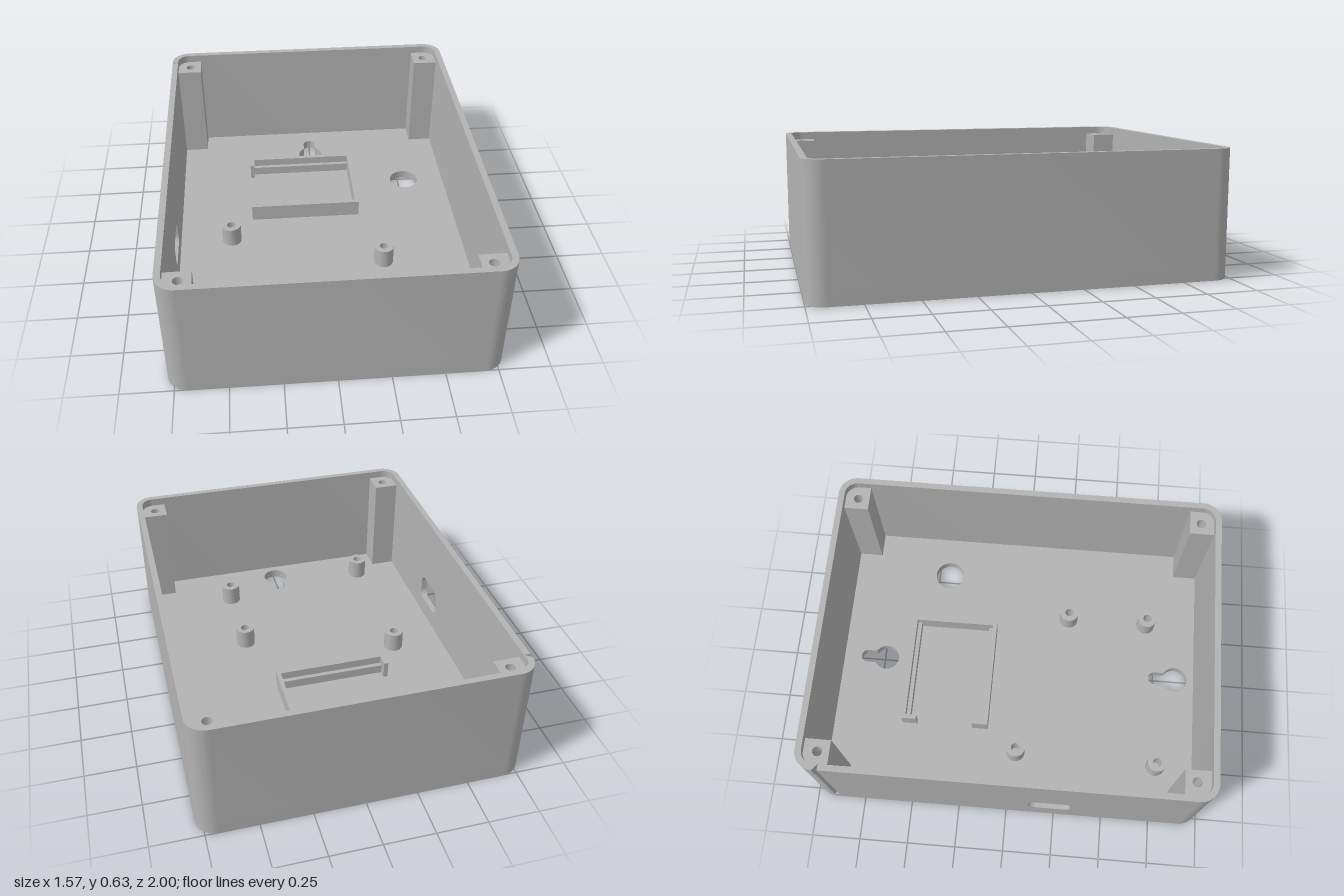
import * as THREE from 'three';
import { toCreasedNormals } from 'three/addons/utils/BufferGeometryUtils.js';

const W = 0.783, D = 1, H = 0.628;       // half width, half depth, height
const T = 0.031, FLOOR = 0.047, R = 0.094; // wall, floor, corner radius
const SEAM = 0.88;                       // half length of the slotted wall panel
const PI = Math.PI;

// Corner centres in turning order, with the start angle of each arc
const CORNERS = [[-1, -1, PI], [1, -1, 1.5 * PI], [1, 1, 0], [-1, 1, 0.5 * PI]];

function roundedRect(path, cx, cy, hw, hh, r) {
  CORNERS.forEach(([sx, sy, a]) =>
    path.absarc(cx + sx * (hw - r), cy + sy * (hh - r), r, a, a + PI / 2, false));
  path.closePath();
  return path;
}

function circle(x, z, r) {
  return new THREE.Path().absarc(x, z, r, 0, 2 * PI, false);
}

// Round opening with a narrow slot towards the back
function keyhole(z, slotZ) {
  const r = 0.068, w = 0.034, a = Math.acos(w / r);
  const p = new THREE.Path();
  p.absarc(0, z, r, -a, PI + a, false);
  p.absarc(0, slotZ, w, PI, 2 * PI, false);
  p.closePath();
  return p;
}

function extrude(shape, depth) {
  return new THREE.ExtrudeGeometry(shape, { depth, bevelEnabled: false, curveSegments: 14 });
}

// Plan outline (x, z) raised from y0 to y1
function slab(shape, y0, y1) {
  const g = extrude(shape, y1 - y0).rotateX(PI / 2).translate(0, y1, 0);
  return toCreasedNormals(g, 0.6);
}

export function createModel() {
  const model = new THREE.Group();
  model.name = 'enclosureBase';
  const grey = new THREE.MeshStandardMaterial({ color: 0xb3b3b3 });
  grey.name = 'grey plastic';

  const add = (name, geometry, parent = model) => {
    const mesh = new THREE.Mesh(geometry, grey);
    mesh.name = name;
    parent.add(mesh);
    return mesh;
  };

  // Floor with two hanging keyholes and a cable hole
  const floor = roundedRect(new THREE.Shape(), 0, 0, W, D, R);
  floor.holes.push(keyhole(-0.735, -0.842), keyhole(0.865, 0.756), circle(0.527, -0.437, 0.079));
  add('floor', slab(floor, 0, FLOOR));

  // Walls on three sides, wrapping around to the slotted panel
  const wall = new THREE.Shape();
  wall.moveTo(-W, -SEAM);
  CORNERS.forEach(([sx, sz, a]) =>
    wall.absarc(sx * (W - R), sz * (D - R), R, a, a + PI / 2, false));
  wall.lineTo(-W, SEAM);
  wall.lineTo(-W + T, SEAM);
  [...CORNERS].reverse().forEach(([sx, sz, a]) =>
    wall.absarc(sx * (W - R), sz * (D - R), R - T, a + PI / 2, a, true));
  wall.lineTo(-W + T, -SEAM);
  wall.closePath();
  add('walls', slab(wall, FLOOR, H));

  // Right wall panel with the rounded connector opening
  const panel = new THREE.Shape();
  panel.moveTo(-SEAM, FLOOR);
  panel.lineTo(SEAM, FLOOR);
  panel.lineTo(SEAM, H);
  panel.lineTo(-SEAM, H);
  panel.closePath();
  panel.holes.push(roundedRect(new THREE.Path(), 0.222, 0.208, 0.108, 0.068, 0.04));
  const panelGeometry = extrude(panel, T).rotateY(-PI / 2).translate(-W + T, 0, 0);
  add('connectorPanel', toCreasedNormals(panelGeometry, 0.6));

  // Square screw posts in the corners, just below the rim
  const posts = new THREE.Group();
  posts.name = 'cornerPosts';
  model.add(posts);
  for (const [sx, sz] of CORNERS) {
    const post = new THREE.Shape();
    const x0 = sx * 0.624, x1 = sx * (W - T), z0 = sz * 0.844, z1 = sz * (D - T);
    post.moveTo(x0, z0);
    post.lineTo(x1, z0);
    post.lineTo(x1, z1);
    post.lineTo(x0, z1);
    post.closePath();
    post.holes.push(circle(sx * 0.683, sz * 0.902, 0.024));
    add('cornerPost', slab(post, FLOOR, 0.588), posts);
  }

  // Hollow round standoffs for the circuit board
  const standoffs = new THREE.Group();
  standoffs.name = 'standoffs';
  model.add(standoffs);
  for (const [x, z] of [[-0.479, 0.024], [0.31, 0.26], [0.31, 0.693], [-0.497, 0.772]]) {
    const ring = new THREE.Shape().absarc(x, z, 0.05, 0, 2 * PI, false);
    ring.holes.push(circle(x, z, 0.022));
    add('standoff', slab(ring, FLOOR, 0.151), standoffs);
  }

  // Tray: back, front and side walls, end hooks, and low inner ledges
  const tray = new THREE.Group();
  tray.name = 'moduleTray';
  model.add(tray);
  const block = (name, x0, x1, z0, z1, top) => {
    const g = new THREE.BoxGeometry(x1 - x0, top - FLOOR, z1 - z0);
    g.translate((x0 + x1) / 2, (top + FLOOR) / 2, (z0 + z1) / 2);
    add(name, g, tray);
  };
  const top = 0.136, ledge = 0.094;
  block('trayBackWall', -0.365, 0.225, -0.598, -0.577, top);
  block('trayFrontWall', -0.365, 0.225, -0.157, -0.135, top);
  block('traySideWall', 0.204, 0.225, -0.577, -0.157, top);
  block('trayBackHook', -0.365, -0.342, -0.577, -0.52, top);
  block('trayFrontHook', -0.365, -0.342, -0.22, -0.157, top);
  block('trayBackLedge', -0.342, 0.204, -0.577, -0.556, ledge);
  block('trayFrontLedge', -0.342, 0.204, -0.18, -0.157, ledge);

  return model;
}
